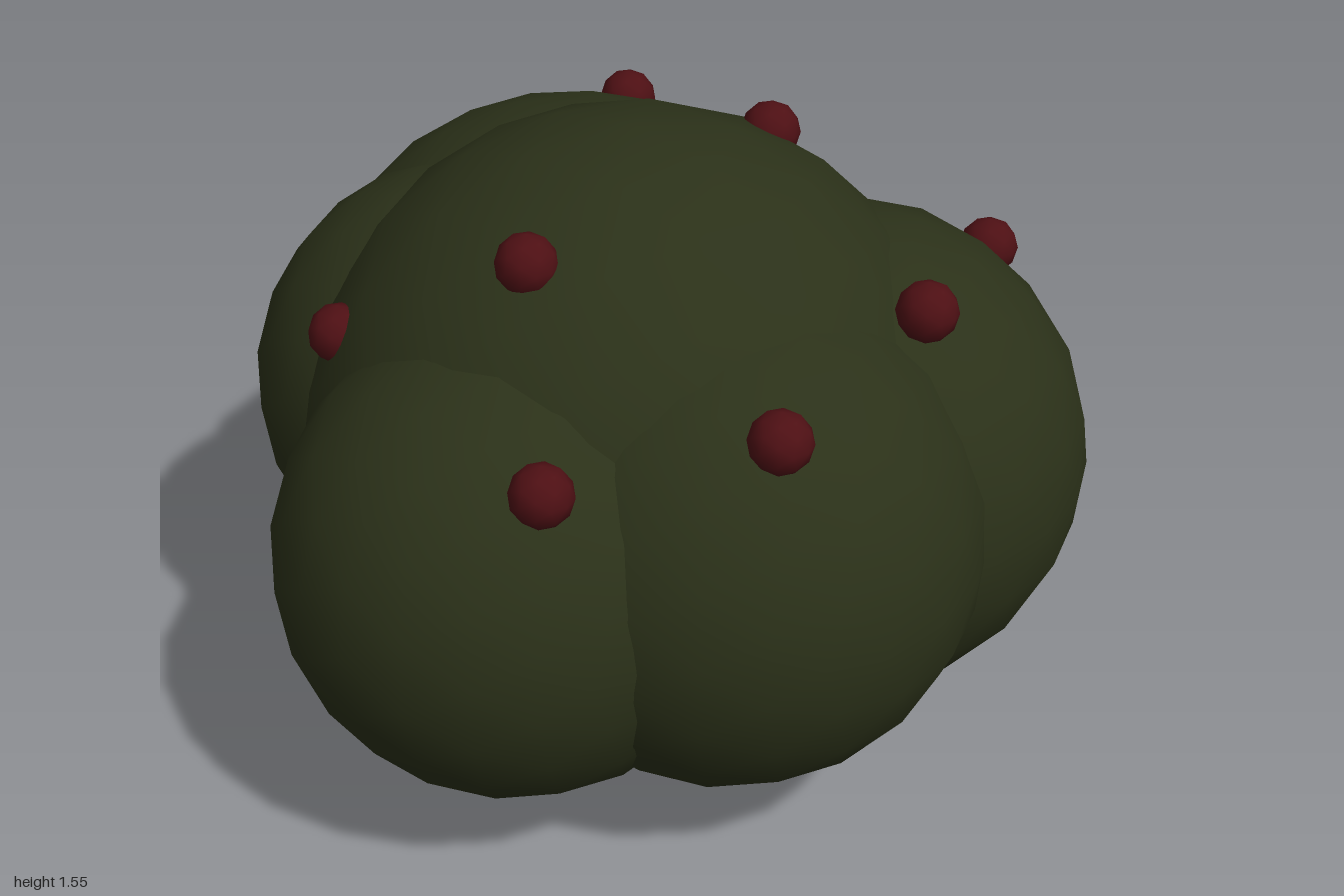
import * as THREE from 'three';

export function createModel() {
  const bush = new THREE.Group();
  bush.name = 'berryBush';

  const leafMaterial = new THREE.MeshStandardMaterial({ color: 0x2b3119 });
  const berryMaterial = new THREE.MeshStandardMaterial({ color: 0x4e1014 });
  const lobeGeometry = new THREE.IcosahedronGeometry(1, 3);
  const berryGeometry = new THREE.IcosahedronGeometry(0.07, 1);

  function add(name, geometry, material, position) {
    const mesh = new THREE.Mesh(geometry, material);
    mesh.name = name;
    mesh.position.set(...position);
    bush.add(mesh);
    return mesh;
  }

  // Overlapping rounded masses of foliage: name, centre, radii
  const lobes = [
    ['centreFoliage', [0.05, 0.775, -0.05], [0.775, 0.775, 0.775]],
    ['frontFoliage', [0.1, 0.69, 0.41], [0.55, 0.56, 0.56]],
    ['leftFoliage', [0.43, 0.72, 0.07], [0.58, 0.59, 0.58]],
    ['backLeftFoliage', [0.4, 0.72, -0.38], [0.59, 0.59, 0.59]],
    ['backRightFoliage', [-0.33, 0.79, -0.3], [0.67, 0.6, 0.67]],
    ['rightFoliage', [-0.4, 0.79, 0.02], [0.52, 0.53, 0.52]],
  ];
  for (const [name, centre, radii] of lobes) {
    add(name, lobeGeometry, leafMaterial, centre).scale.set(...radii);
  }

  // Berries scattered over the upper half, partly sunk into the foliage
  const berries = [
    [0.12, 1.4, 0.39], [0.12, 1.42, -0.46], [-0.5, 1.26, -0.69], [0.5, 1.1, -0.84],
    [0.73, 1.25, -0.22], [0.75, 1.18, 0.33], [0.43, 1.1, 0.7], [-0.36, 1.11, 0.49],
  ];
  berries.forEach((position, i) => {
    add(`berry${i + 1}`, berryGeometry, berryMaterial, position);
  });

  return bush;
}
